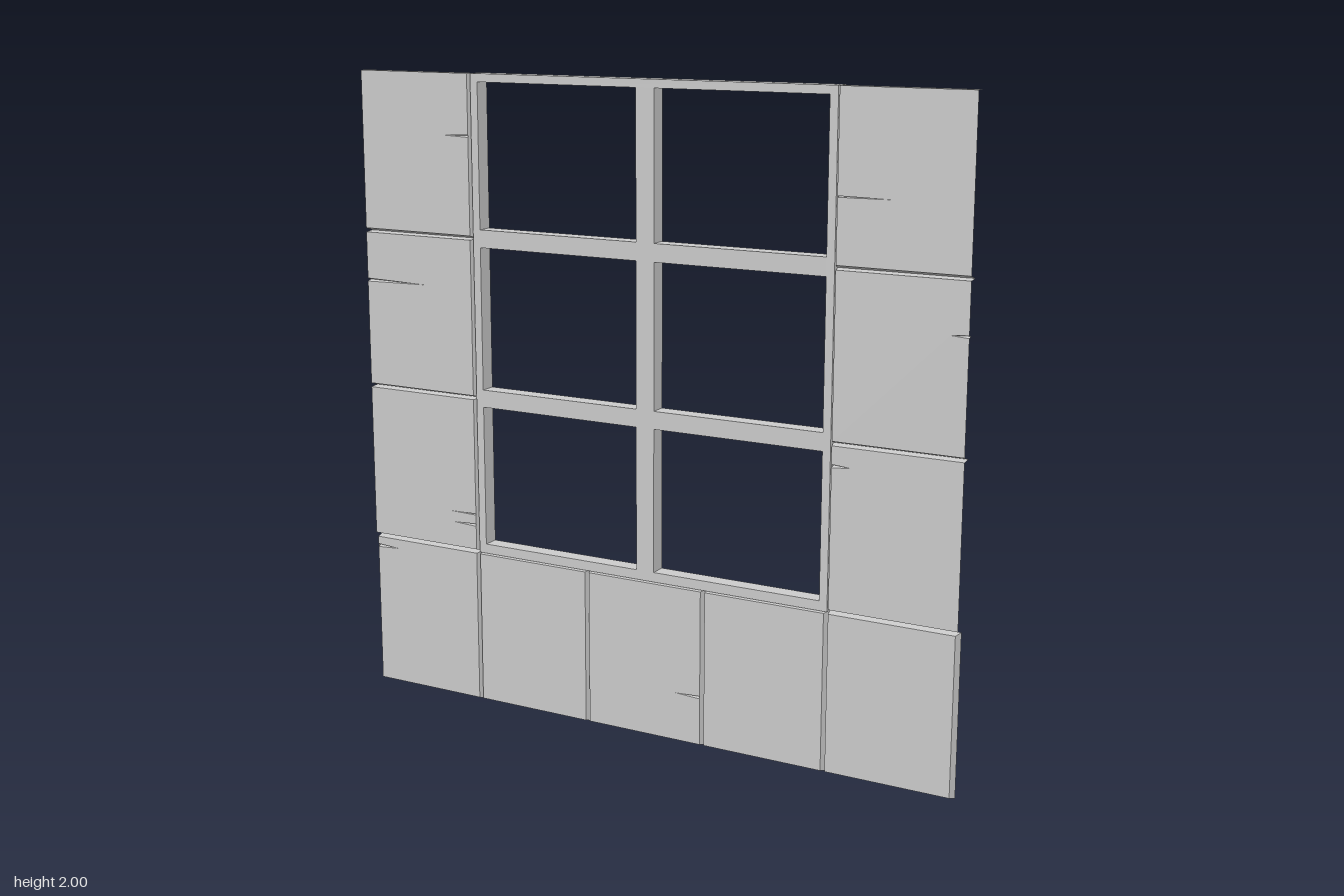
import * as THREE from 'three';

const FRONT = 0.03; // front plane of the panels; their open backs lie on z = 0

export function createModel() {
  const group = new THREE.Group();
  const shell = new THREE.MeshStandardMaterial({ color: 0xcccccc, flatShading: true, side: THREE.DoubleSide });
  const solid = new THREE.MeshStandardMaterial({ color: 0xcccccc, flatShading: true });

  // flat-shaded mesh from a list of triangle corners
  const faces = (name, points) => {
    const geo = new THREE.BufferGeometry().setFromPoints(points);
    geo.computeVertexNormals();
    const mesh = new THREE.Mesh(geo, shell);
    mesh.name = name;
    return mesh;
  };

  // Thin panel, open at the back: front sheet, slanted rim and wedge cracks.
  // inset = [bottom, right, top, left]; null leaves that side without a rim.
  // cracks = [side (1 right, -1 left), y, length, half height]
  function addPanel(name, x0, x1, y0, y1, inset, cracks = []) {
    const panel = new THREE.Group();
    panel.name = name;
    const [b, r, t, l] = inset.map(v => v ?? 0);
    const fx0 = x0 + l, fx1 = x1 - r, fy0 = y0 + b, fy1 = y1 - t;

    // outline of the front sheet, notched where a crack runs in
    const notch = side => cracks.filter(c => c[0] === side)
      .sort((p, q) => side * (p[1] - q[1]))
      .flatMap(([s, y, len, h]) => {
        const ex = s > 0 ? fx1 : fx0;
        return [[ex, y - s * h], [ex - s * len, y], [ex, y + s * h]];
      });
    const outline = [[fx0, fy0], [fx1, fy0], ...notch(1), [fx1, fy1], [fx0, fy1], ...notch(-1)];
    const sheet = new THREE.Mesh(
      new THREE.ShapeGeometry(new THREE.Shape(outline.map(p => new THREE.Vector2(...p)))), shell);
    sheet.name = name + 'Front';
    sheet.position.z = FRONT;
    panel.add(sheet);

    // slanted rim
    const f = [[fx0, fy0], [fx1, fy0], [fx1, fy1], [fx0, fy1]].map(p => new THREE.Vector3(...p, FRONT));
    const k = [[x0, y0], [x1, y0], [x1, y1], [x0, y1]].map(p => new THREE.Vector3(...p, 0));
    const rim = [];
    inset.forEach((v, i) => {
      const j = (i + 1) % 4;
      if (v !== null) rim.push(f[i], k[i], k[j], f[i], k[j], f[j]);
    });
    panel.add(faces(name + 'Rim', rim));

    // sloping sides of each crack
    for (const [s, y, len, h] of cracks) {
      const ex = s > 0 ? fx1 : fx0;
      const lo = new THREE.Vector3(ex, y - h, FRONT), hi = new THREE.Vector3(ex, y + h, FRONT);
      const tip = new THREE.Vector3(ex - s * len, y, FRONT), deep = new THREE.Vector3(ex, y, FRONT - 0.015);
      panel.add(faces(name + 'Crack', s > 0
        ? [lo, deep, tip, hi, tip, deep] : [lo, tip, deep, hi, deep, tip]));
    }
    group.add(panel);
  }

  // bottom row of five panels
  const lowerCracks = { 0: [[-1, 0.467, 0.08, 0.005]], 2: [[1, 0.162, 0.085, 0.004]] };
  for (let i = 0; i < 5; i++) {
    const x = -1 + i * 0.4;
    addPanel('lowerPanel', x, x + 0.4, 0, 0.5, [0.01, 0.007, 0.003, 0.007], lowerCracks[i]);
  }

  // three panels up each side, with no rim on the outer edge
  const rightCracks = [
    [[1, 0.59, 0.085, 0.004], [1, 0.625, 0.1, 0.002]],
    [[-1, 1.345, 0.22, 0.005]],
    [[1, 1.813, 0.1, 0.004]],
  ];
  const leftCracks = [
    [[-1, 0.938, 0.06, 0.005]],
    [[1, 1.345, 0.055, 0.004]],
    [[-1, 1.7, 0.17, 0.002]],
  ];
  for (let i = 0; i < 3; i++) {
    const y = 0.5 + i * 0.5, top = i === 2 ? 0 : 0.003;
    addPanel('rightPanel', -1, -0.6, y, y + 0.5, [0.01, 0.007, top, null], rightCracks[i]);
    addPanel('leftPanel', 0.6, 1, y, y + 0.5, [0.01, null, top, 0.007], leftCracks[i]);
  }

  // window frame with six openings
  const rect = (P, x0, y0, x1, y1) => new P([[x0, y0], [x1, y0], [x1, y1], [x0, y1]].map(p => new THREE.Vector2(...p)));
  const frameShape = rect(THREE.Shape, -0.6, 0.5, 0.6, 2);
  for (const x of [-0.575, 0.03])
    for (const y of [0.53, 1.03, 1.53])
      frameShape.holes.push(rect(THREE.Path, x, y, x + 0.545, y + 0.445));
  const frame = new THREE.Mesh(
    new THREE.ExtrudeGeometry(frameShape, { depth: 0.052, bevelEnabled: false }), solid);
  frame.name = 'windowFrame';
  frame.position.z = -0.03;
  group.add(frame);

  return group;
}
